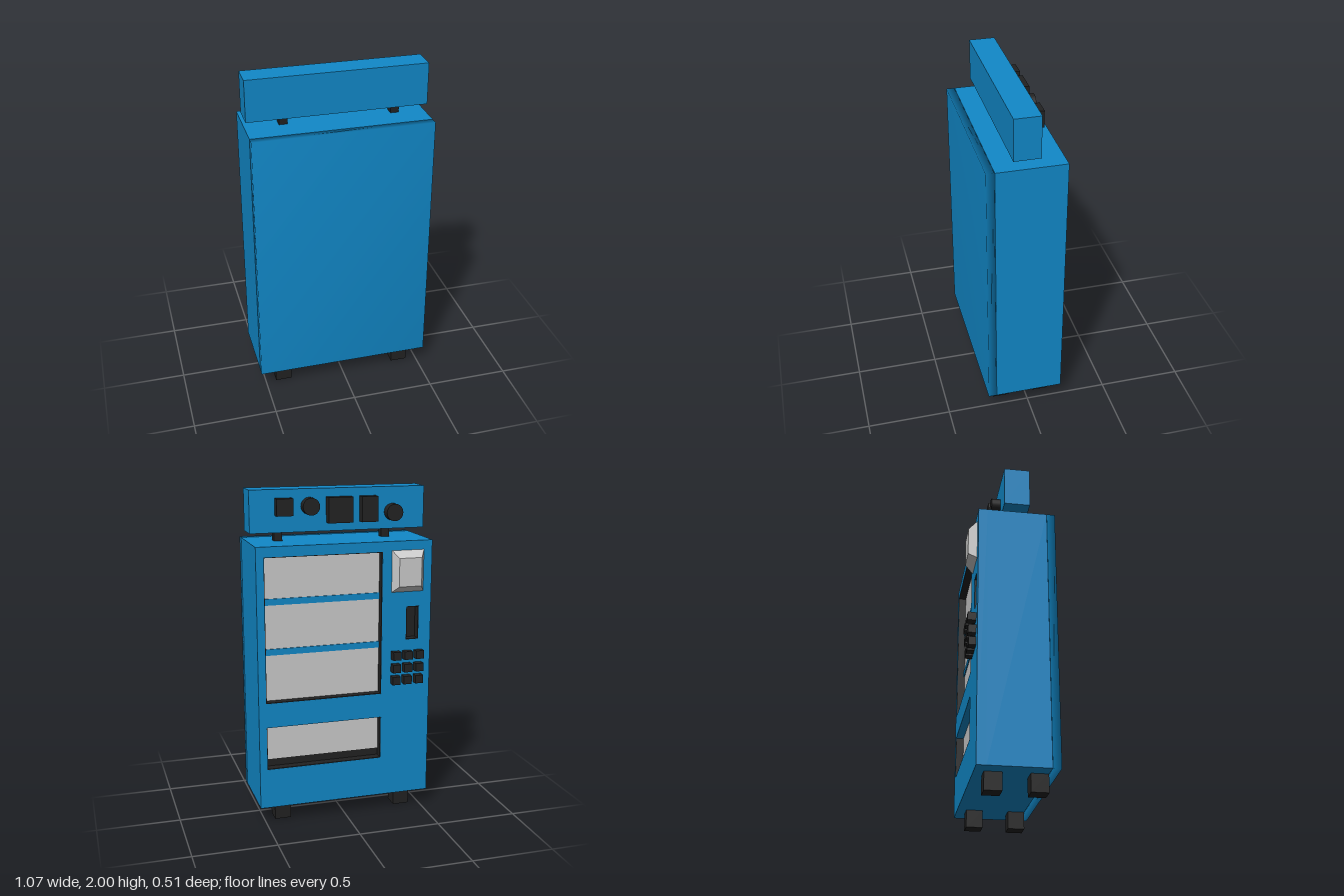
import * as THREE from 'three';
import { mergeVertices } from 'three/addons/utils/BufferGeometryUtils.js';

const blue = new THREE.MeshStandardMaterial({ color: 0x1188c8 });
const black = new THREE.MeshStandardMaterial({ color: 0x222222 });
const grey = new THREE.MeshStandardMaterial({ color: 0xcccccc });

export function createModel() {
  const model = new THREE.Group();

  const add = (name, geometry, material) => {
    const mesh = new THREE.Mesh(geometry, material);
    mesh.name = name;
    model.add(mesh);
    return mesh;
  };
  // Box given by its limits on each axis
  const box = (name, material, [x0, x1], [y0, y1], [z0, z1]) => {
    const mesh = add(name, new THREE.BoxGeometry(x1 - x0, y1 - y0, z1 - z0), material);
    mesh.position.set((x0 + x1) / 2, (y0 + y1) / 2, (z0 + z1) / 2);
    return mesh;
  };

  const W = 0.535, FACE = -0.205, RECESS = -0.15;
  const rect = (path, [x0, x1], [y0, y1]) =>
    path.moveTo(x0, y0).lineTo(x1, y0).lineTo(x1, y1).lineTo(x0, y1).closePath();

  // Openings in the service face
  const openings = [
    { name: 'window', x: [-0.225, 0.49], y: [0.765, 1.635], top: true },
    { name: 'deliverySlot', x: [-0.225, 0.49], y: [0.35, 0.615], top: false },
    { name: 'paymentSlot', x: [-0.458, -0.378], y: [1.095, 1.3], top: true },
  ];

  // Cabinet: solid core, pierced service face and soft-shaded rear panel
  box('cabinet', blue, [-W, W], [0.105, 1.695], [RECESS, 0.205]);
  const face = rect(new THREE.Shape(), [-W, W], [0.105, 1.695]);
  openings.forEach((o) => face.holes.push(rect(new THREE.Path(), o.x, o.y)));
  add('serviceFace', new THREE.ExtrudeGeometry(face, { depth: RECESS - FACE, bevelEnabled: false }), blue)
    .position.z = FACE;

  let panel = new THREE.BoxGeometry(2 * W, 1.59, 0.048);
  panel.deleteAttribute('normal');
  panel.deleteAttribute('uv');
  panel = mergeVertices(panel);
  panel.computeVertexNormals();
  add('rearPanel', panel, blue).position.set(0, 0.9, 0.231);

  // Dark linings of the openings
  const t = 0.004, depth = [FACE + 0.001, RECESS];
  for (const { name, x, y, top } of openings) {
    box(name + 'Back', black, x, y, [RECESS - 0.003, RECESS]);
    box(name + 'Side', black, [x[0], x[0] + t], y, depth);
    box(name + 'Side', black, [x[1] - t, x[1]], y, depth);
    box(name + 'Floor', black, x, [y[0], y[0] + t], depth);
    if (top) box(name + 'Ceiling', black, x, [y[1] - t, y[1]], depth);
  }

  // Glass, delivery flap and shelves
  const inner = [-0.221, 0.486];
  box('glass', grey, inner, [0.769, 1.631], [-0.158, RECESS]);
  box('deliveryFlap', grey, inner, [0.4, 0.614], [-0.158, RECESS]);
  for (const y of [1.385, 1.085]) box('shelf', blue, inner, [y - 0.038, y], [-0.164, RECESS]);

  // Display: a four-sided frustum
  const display = new THREE.BoxGeometry(0.2, 0.25, 0.05).toNonIndexed();
  const p = display.attributes.position;
  for (let i = 0; i < p.count; i++) {
    if (p.getZ(i) < 0) p.setXY(i, p.getX(i) * 0.7, p.getY(i) * 0.68);
  }
  display.computeVertexNormals();
  add('display', display, grey).position.set(-0.383, 1.515, -0.23);

  // Keypad
  for (const x of [-0.31, -0.382, -0.455]) {
    [1.005, 0.926, 0.85].forEach((y, row) =>
      box('keypadButton', black, [x - 0.025, x + 0.025], [y - 0.025, y + 0.025], [-0.255 + row * 0.004, FACE])
        .rotation.x = 0.06 * (1 - row / 2));
  }

  // Sign on two posts
  box('sign', blue, [-W, W], [1.75, 2], [-0.05, 0.105]);
  for (const x of [-0.31, 0.355]) box('signPost', black, [x - 0.025, x + 0.025], [1.69, 1.755], [0, 0.053]);

  // Raised blocks and discs on the sign
  const signDepth = [-0.105, -0.05];
  box('signBlock', black, [0.285, 0.385], [1.85, 1.95], signDepth);
  box('signBlock', black, [-0.075, 0.075], [1.8, 1.95], signDepth);
  box('signBlock', black, [-0.23, -0.13], [1.8, 1.95], signDepth);
  for (const [x, y] of [[0.178, 1.9], [-0.335, 1.85]]) {
    const disc = add('signDisc', new THREE.CylinderGeometry(0.051, 0.051, 0.055, 20), black);
    disc.rotation.x = Math.PI / 2;
    disc.position.set(x, y, -0.0775);
  }

  // Feet
  for (const x of [-0.385, 0.385]) {
    for (const z of [0.155, -0.1]) box('foot', black, [x - 0.05, x + 0.05], [0, 0.107], [z - 0.05, z + 0.05]);
  }

  return model;
}
